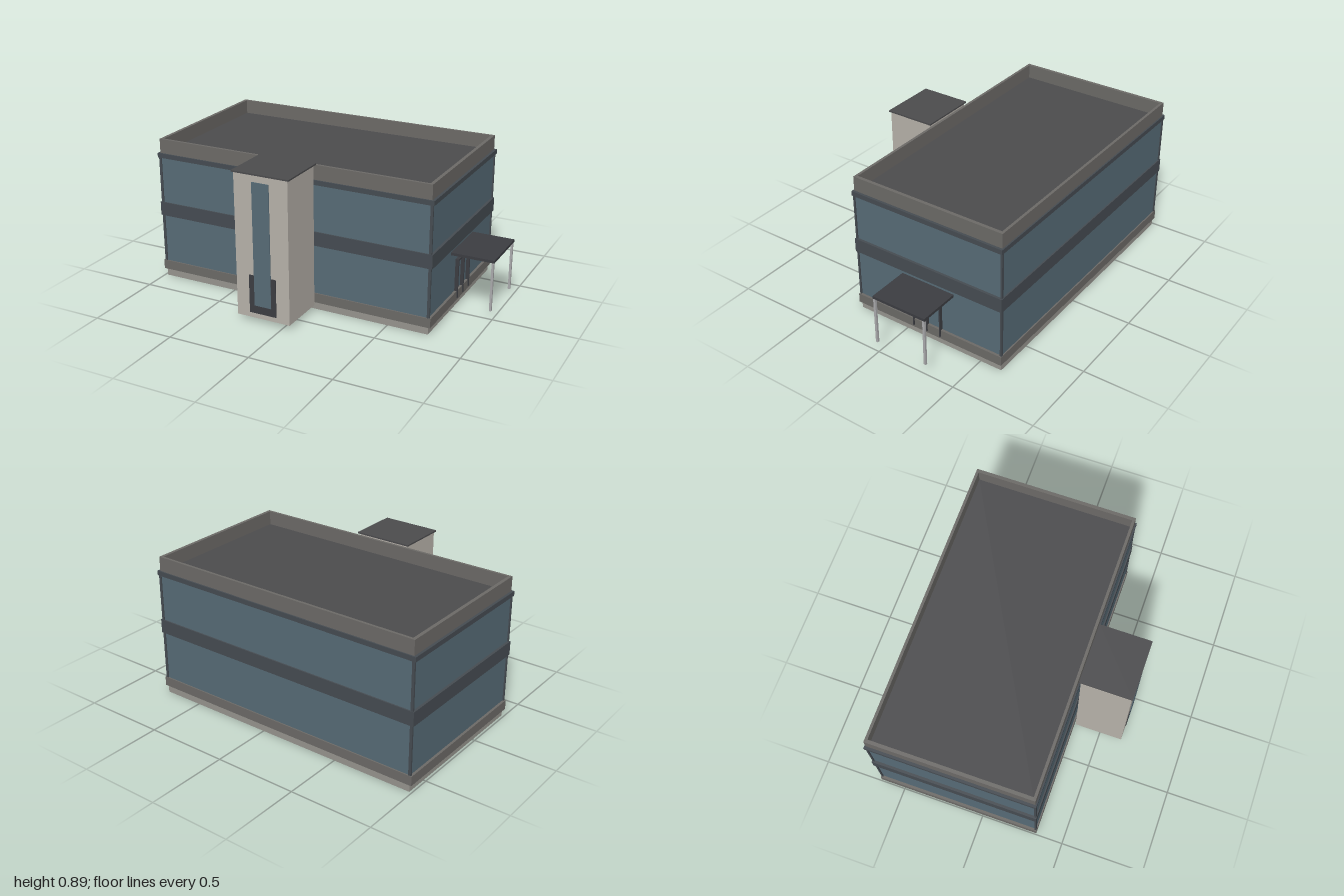
import * as THREE from 'three';

const mat = (color) => new THREE.MeshStandardMaterial({ color, flatShading: true });

export function createModel() {
  const model = new THREE.Group();
  const glass = mat(0x566a75), band = mat(0x454b51), stone = mat(0xb5b0a8), plinth = mat(0x95938d);
  const warm = mat(0x6b6966), roof = mat(0x4b4b4d), dark = mat(0x3b3c41), steel = mat(0xa9a9ab);

  // Box given by its limits on each axis
  function box(name, material, [x0, x1], [y0, y1], [z0, z1]) {
    const mesh = new THREE.Mesh(new THREE.BoxGeometry(x1 - x0, y1 - y0, z1 - z0), material);
    mesh.position.set((x0 + x1) / 2, (y0 + y1) / 2, (z0 + z1) / 2);
    mesh.name = name;
    model.add(mesh);
  }

  // Main block footprint, optionally grown outwards
  const X = (g = 0) => [-0.985 - g, 0.745 + g];
  const Z = (g = 0) => [-0.634 - g, 0.331 + g];

  box('plinth', plinth, X(), [0, 0.045], Z());
  box('glassWalls', glass, X(), [0.045, 0.775], Z());
  box('roofDeck', roof, X(-0.01), [0.775, 0.792], Z(-0.01));

  // Bands around the floors
  box('baseBand', warm, X(0.015), [0.045, 0.102], Z(0.008));
  box('floorBand', band, X(0.015), [0.398, 0.482], Z(0.008));
  box('upperBand', band, X(0.015), [0.762, 0.79], Z(0.008));

  // Slim corner posts
  for (const x of X()) for (const z of Z()) {
    box('cornerPost', band, [x - 0.008, x + 0.008], [0.102, 0.762], [z - 0.005, z + 0.005]);
  }

  // Parapet ring around the roof
  const rect = (Type, [x0, x1], [z0, z1]) => new Type([
    new THREE.Vector2(x0, -z0), new THREE.Vector2(x0, -z1),
    new THREE.Vector2(x1, -z1), new THREE.Vector2(x1, -z0),
  ]);
  const ring = rect(THREE.Shape, X(), Z());
  ring.holes.push(rect(THREE.Path, X(-0.02), Z(-0.016)));
  const parapet = new THREE.Mesh(
    new THREE.ExtrudeGeometry(ring, { depth: 0.1, bevelEnabled: false }), warm);
  parapet.rotation.x = -Math.PI / 2;
  parapet.position.y = 0.777;
  parapet.name = 'parapet';
  model.add(parapet);

  // Stair tower with cap, tall window and door surround
  box('tower', stone, [-0.287, 0.047], [0.03, 0.88], [0.346, 0.636]);
  box('towerCap', roof, [-0.298, 0.058], [0.88, 0.889], [0.337, 0.643]);
  box('towerDoorSurround', dark, [-0.206, -0.036], [0.06, 0.29], [0.63, 0.639]);
  box('towerWindow', glass, [-0.173, -0.067], [0.108, 0.84], [0.63, 0.641]);

  // Side entrance canopy on two posts
  box('canopy', dark, [0.745, 1], [0.355, 0.371], [-0.325, 0.02]);
  for (const z of [0.013, -0.315]) {
    box('canopyPost', steel, [0.984, 0.997], [0.06, 0.355], [z - 0.007, z + 0.007]);
  }

  // Side entrance door frame
  for (const z of [-0.06, -0.15, -0.241]) {
    box('doorFramePost', dark, [0.745, 0.766], [0.06, 0.3], [z - 0.004, z + 0.004]);
  }
  box('doorFrameHead', dark, [0.745, 0.766], [0.292, 0.301], [-0.245, -0.056]);

  return model;
}
